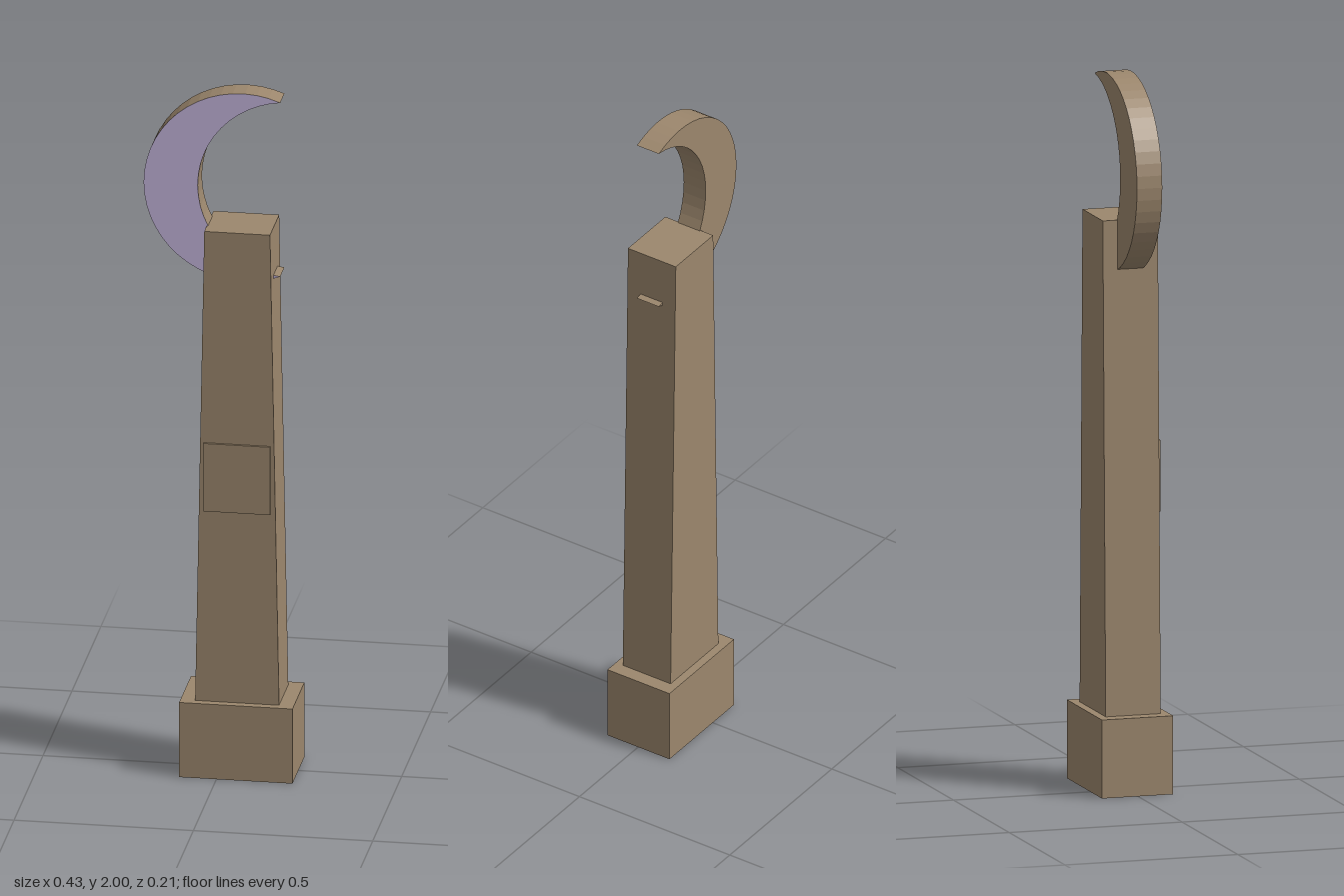
import * as THREE from 'three';

const CX = 0.054; // axis of the tower

export function createModel() {
  const group = new THREE.Group();
  const stone = new THREE.MeshStandardMaterial({ color: 0x9c876d, flatShading: true });
  const violet = new THREE.MeshStandardMaterial({ color: 0xc4b5dc, flatShading: true });

  const add = (name, geometry, material, x, y, z) => {
    const mesh = new THREE.Mesh(geometry, material);
    mesh.name = name;
    mesh.position.set(x, y, z);
    group.add(mesh);
  };

  // Plinth
  add('plinth', new THREE.BoxGeometry(0.316, 0.22, 0.206), stone, CX, 0.11, -0.001);

  // Column, tapering in width only
  const column = new THREE.BoxGeometry(0.234, 1.385, 0.159);
  const pos = column.attributes.position;
  for (let i = 0; i < pos.count; i++) {
    if (pos.getY(i) > 0) pos.setX(i, pos.getX(i) * 0.783);
  }
  column.computeVertexNormals();
  add('column', column, stone, CX, 0.9125, -0.0005);

  // Shallow plaque on the front
  add('plaque', new THREE.BoxGeometry(0.186, 0.2, 0.012), stone, CX, 0.882, 0.08);

  // Crescent between two arcs that meet at the tips
  const cy = 1.7235, tipX = 0.167, tipH = 0.2565;
  const arcPoints = (cx, r, n) => {
    const start = Math.atan2(tipH, tipX - cx);
    const sweep = 2 * (Math.PI - start);
    return Array.from({ length: n + 1 }, (_, i) => {
      const a = start + sweep * i / n;
      return new THREE.Vector2(cx + r * Math.cos(a), r * Math.sin(a));
    });
  };
  const outer = arcPoints(0.063, 0.2767, 32);
  const inner = arcPoints(0.195, 0.258, 24).reverse().slice(1, -1);
  const crescent = new THREE.Shape([...outer, ...inner]);
  add('crescent', new THREE.ExtrudeGeometry(crescent, { depth: 0.073, bevelEnabled: false }),
    stone, 0, cy, -0.038);

  // Coloured front face of the crescent
  add('crescentFace', new THREE.ShapeGeometry(crescent), violet, 0, cy, 0.0356);

  return group;
}
